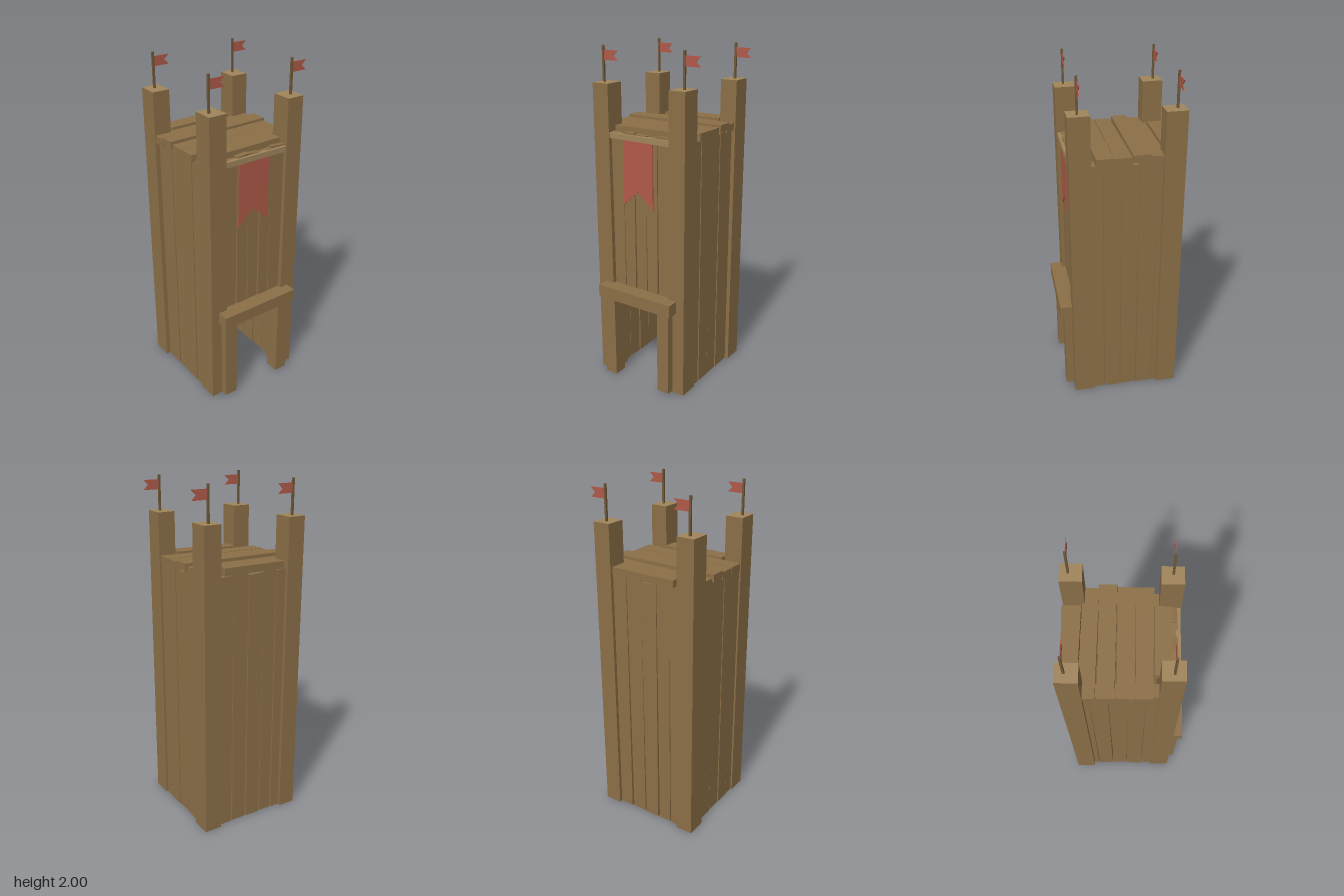
import * as THREE from 'three';

const mat = (color, side = THREE.FrontSide) =>
  new THREE.MeshStandardMaterial({ color, flatShading: true, side });

// Box between two corners
function box(name, material, [x0, y0, z0], [x1, y1, z1]) {
  const g = new THREE.BoxGeometry(x1 - x0, y1 - y0, z1 - z0);
  g.translate((x0 + x1) / 2, (y0 + y1) / 2, (z0 + z1) / 2);
  const m = new THREE.Mesh(g, material);
  m.name = name;
  return m;
}

// Extruded swallowtail outline, centred on its thickness
function cloth(name, points, depth, material) {
  const shape = new THREE.Shape(points.map(([x, y]) => new THREE.Vector2(x, y)));
  const g = new THREE.ExtrudeGeometry(shape, { depth, bevelEnabled: false });
  g.translate(0, 0, -depth / 2);
  const m = new THREE.Mesh(g, material);
  m.name = name;
  return m;
}

// Row of upright boards between the listed edges, each narrowing to the foot
function boardWall(name, edges, y0, tops, thickness, taper, material) {
  const wall = new THREE.Group();
  wall.name = name;
  for (let i = 0; i < edges.length - 1; i++) {
    const width = edges[i + 1] - edges[i];
    const h = tops[i % tops.length] - y0;
    const g = new THREE.BoxGeometry(width - 0.001, h, thickness);
    const p = g.attributes.position;
    for (let v = 0; v < p.count; v++) {
      if (p.getY(v) < 0) p.setX(v, p.getX(v) * taper);
      else p.setY(v, p.getY(v) + Math.sign(p.getX(v)) * 0.003 * (i % 2 ? 1 : -1));
    }
    g.translate((edges[i] + edges[i + 1]) / 2, y0 + h / 2, (i % 2) * 0.003);
    const m = new THREE.Mesh(g, material);
    m.name = name + 'Board';
    wall.add(m);
  }
  return wall;
}

// Roof board with slightly different width at each end
function roofBoard([x0, x1, zL0, zL1, zR0, zR1, top], material) {
  const g = new THREE.BoxGeometry(1, 0.042, 1);
  const p = g.attributes.position;
  for (let v = 0; v < p.count; v++) {
    const right = p.getX(v) > 0, front = p.getZ(v) > 0;
    p.setXYZ(v, right ? x1 : x0, p.getY(v) + top - 0.021 + (right ? 0.003 : -0.003),
      right ? (front ? zR1 : zR0) : (front ? zL1 : zL0));
  }
  g.computeVertexNormals();
  const m = new THREE.Mesh(g, material);
  m.name = 'roofBoard';
  return m;
}

export function createModel() {
  const tower = new THREE.Group();
  tower.name = 'woodenTower';
  const wood = mat(0x8b6f47), paleWood = mat(0xa0855b);
  const poleWood = mat(0x6f5838), red = mat(0xb05a4a, THREE.DoubleSide);

  // Corner posts with pale cut ends, each carrying a flagpole
  const postFaces = [wood, wood, paleWood, wood, wood, wood];
  const posts = [
    [-0.328, -0.222, 0.166, 0.285], [0.184, 0.287, 0.166, 0.285],
    [-0.344, -0.24, -0.35, -0.232], [0.194, 0.297, -0.35, -0.232],
  ];
  for (const [x0, x1, z0, z1] of posts) {
    tower.add(box('cornerPost', postFaces, [x0, 0, z0], [x1, 1.8, z1]));
    const px = x0 < 0 ? -0.291 : 0.245, pz = z0 > 0 ? 0.228 : -0.304;
    tower.add(box('flagpole', poleWood, [px - 0.006, 1.79, pz - 0.006], [px + 0.006, 2, pz + 0.006]));
    const flag = cloth('flag', [[0, 1.92], [0.098, 1.92], [0.07, 1.948], [0.098, 1.975], [0, 1.975]], 0.004, red);
    flag.position.set(px, 0, pz);
    tower.add(flag);
  }

  // Board walls
  const tops = [1.515, 1.525, 1.51, 1.52];
  const front = boardWall('frontWall', [-0.222, -0.138, -0.06, 0.018, 0.096, 0.184],
    0.535, [1.53, 1.54, 1.535], 0.075, 0.9, wood);
  front.position.z = 0.225;
  const back = boardWall('backWall', [-0.27, -0.18, -0.095, 0.005, 0.104, 0.21], 0, tops, 0.075, 0.9, wood);
  back.position.z = -0.292;
  tower.add(front, back);
  const sideEdges = [-0.2, -0.1, 0, 0.1, 0.2, 0.26];
  for (const [name, x, turn] of [['leftWall', 0.236, 1], ['rightWall', -0.28, -1]]) {
    const edges = turn > 0 ? sideEdges : sideEdges.map((e) => -e).reverse();
    const wall = boardWall(name, edges, 0, tops, 0.075, 0.94, wood);
    wall.rotation.y = turn * Math.PI / 2;
    wall.position.x = x;
    tower.add(wall);
  }

  // Roof: x start, x end, z range at right end, z range at left end, top height
  const roof = [
    [-0.215, 0.175, -0.346, -0.256, -0.355, -0.25, 1.566],
    [-0.34, 0.287, -0.252, -0.166, -0.246, -0.157, 1.552],
    [-0.345, 0.3, -0.154, -0.064, -0.157, -0.06, 1.569],
    [-0.34, 0.291, -0.052, 0.039, -0.058, 0.04, 1.556],
    [-0.34, 0.291, 0.044, 0.133, 0.042, 0.14, 1.557],
    [-0.215, 0.175, 0.143, 0.232, 0.143, 0.236, 1.567],
  ];
  for (const r of roof) tower.add(roofBoard(r, wood));

  // Banner and its rail
  tower.add(box('bannerRail', paleWood, [-0.225, 1.498, 0.255], [0.185, 1.53, 0.28]));
  const banner = cloth('banner', [[-0.132, 1.5], [-0.132, 1.12], [-0.031, 1.21], [0.07, 1.12], [0.07, 1.5]], 0.006, red);
  banner.position.z = 0.272;
  tower.add(banner);

  // Doorway frame
  tower.add(box('doorLintel', wood, [-0.278, 0.53, 0.255], [0.234, 0.605, 0.354]));
  for (const [x0, x1] of [[-0.26, -0.18], [0.132, 0.21]])
    tower.add(box('doorPost', wood, [x0, 0.008, 0.245], [x1, 0.535, 0.33]));

  return tower;
}
